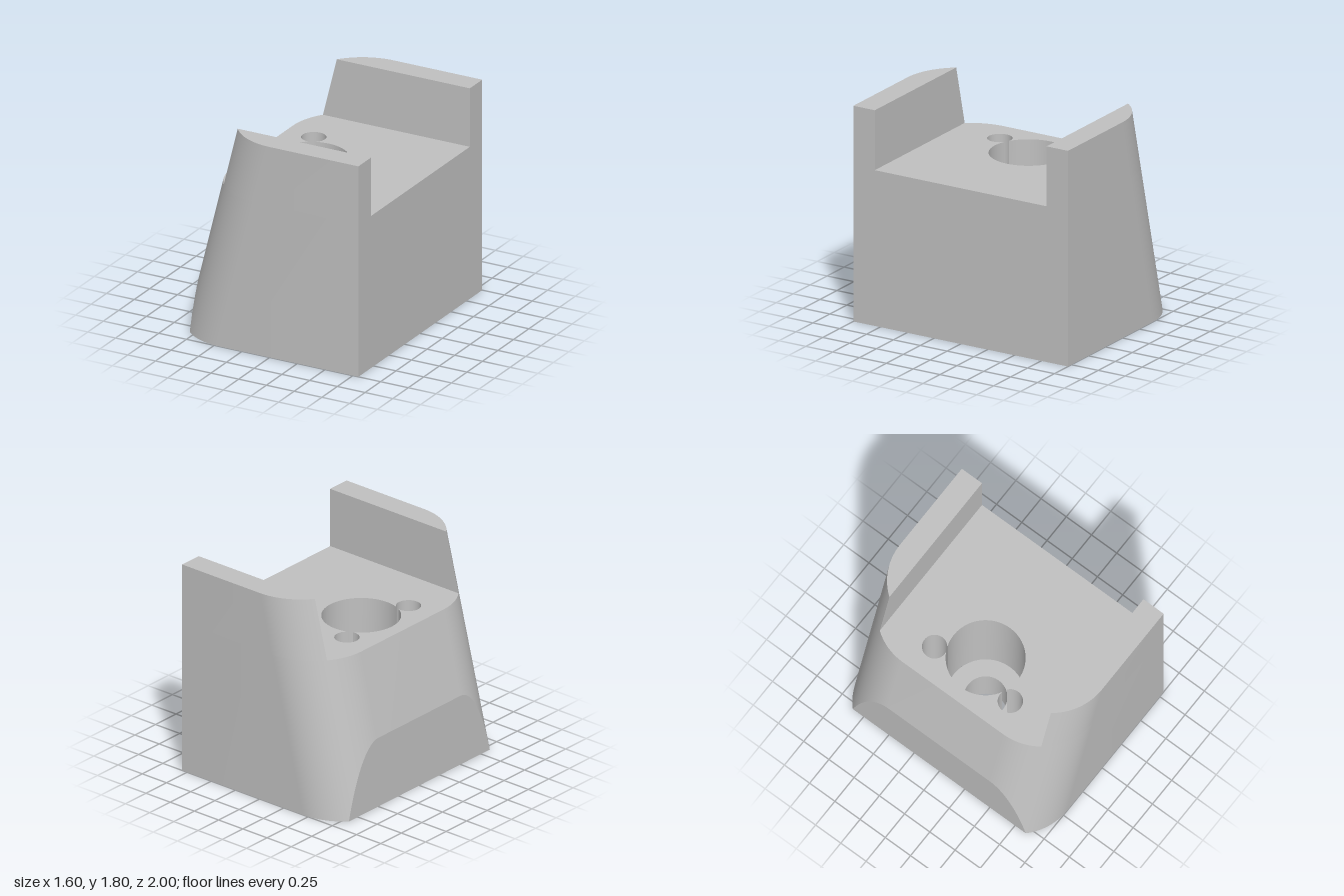
import * as THREE from 'three';
import { toCreasedNormals } from 'three/addons/utils/BufferGeometryUtils.js';

// Plan points are Vector2(x, -z). The rounded front edge leans back with height.
const LEAN = 0.25, R = 0.5, BASE_X = -0.45, CUT_X = -0.8, BACK_X = 0.8;
const FLOOR = 1.3, TOP = 1.8, WALL_Z = 0.8, BORE_FLOOR = 0.4;

const V2 = (x, y) => new THREE.Vector2(x, y);
const at = (p, y) => new THREE.Vector3(p.x, y, -p.y);
const lean = (p, y) => V2(p.x === BACK_X ? BACK_X : p.x + LEAN * y, p.y);

// Walls between rows of points, outward when the path runs counter-clockwise
function loft(rows) {
  const pos = [];
  const tri = (a, b, c) => {
    if (new THREE.Triangle(a, b, c).getArea() > 1e-7) for (const v of [a, b, c]) pos.push(v.x, v.y, v.z);
  };
  for (let r = 0; r < rows.length - 1; r++) {
    const lo = rows[r], hi = rows[r + 1];
    for (let i = 0; i < lo.length - 1; i++) {
      tri(lo[i], lo[i + 1], hi[i + 1]);
      tri(lo[i], hi[i + 1], hi[i]);
    }
  }
  const g = new THREE.BufferGeometry();
  g.setAttribute('position', new THREE.Float32BufferAttribute(pos, 3));
  return toCreasedNormals(g, 0.2);
}

// Flat horizontal face with holes
function cap(points, y, holes = [], down = false) {
  const shape = new THREE.Shape(points);
  shape.holes = holes.map((h) => new THREE.Path(h));
  return new THREE.ShapeGeometry(shape).rotateX(down ? Math.PI / 2 : -Math.PI / 2).translate(0, y, 0);
}

function arc(c, r, a0, a1, n) {
  return Array.from({ length: n + 1 }, (_, i) => {
    const a = a0 + ((a1 - a0) * i) / n;
    return V2(c.x + r * Math.cos(a), c.y + r * Math.sin(a));
  });
}

export function createModel() {
  const group = new THREE.Group();
  const grey = new THREE.MeshStandardMaterial({ color: 0xc0c0c0 });
  grey.name = 'plain grey';
  const add = (name, geometry) => {
    const mesh = new THREE.Mesh(geometry, grey);
    mesh.name = name;
    group.add(mesh);
  };

  // Outline at ground level, split where the walls begin and where the flat cut ends
  const wallA = Math.asin((WALL_Z - R) / R), cutA = Math.acos((BASE_X - CUT_X) / R);
  const centre = V2(BASE_X, R);
  const wallArc = [
    ...arc(centre, R, Math.PI / 2, Math.PI - cutA, 12),
    ...arc(centre, R, Math.PI - cutA, Math.PI - wallA, 3).slice(1),
  ];
  const wall = [V2(BACK_X, 1), ...wallArc];
  const frontArc = arc(centre, R, Math.PI - wallA, Math.PI, 10);
  const mirror = (pts) => pts.map((p) => V2(p.x, -p.y)).reverse();
  const middle = [...frontArc, ...mirror(frontArc)];
  const outline = [...wall, ...middle.slice(1, -1), ...mirror(wall)];

  // Outer skin: upright below the kink, leaning above it
  const clipped = outline.map((p) => V2(Math.max(p.x, CUT_X), p.y));
  const kink = outline.map((p) => Math.max(0, (CUT_X - p.x) / LEAN));
  add('bodySkin', loft([
    clipped.map((p) => at(p, 0)),
    clipped.map((p, i) => at(p, kink[i])),
    outline.map((p) => at(lean(p, FLOOR), FLOOR)),
  ]));

  // Two raised side walls
  for (const side of [1, -1]) {
    const path = side > 0 ? wall : mirror(wall);
    const name = side > 0 ? 'rightWall' : 'leftWall';
    const rowAt = (pts, y) => pts.map((p) => at(lean(p, y), y));
    add(name + 'Outside', loft([rowAt(path, FLOOR), rowAt(path, TOP)]));
    const inner = [wall[wall.length - 1], V2(BACK_X, WALL_Z)];
    const innerPath = side > 0 ? inner : mirror(inner);
    add(name + 'Inside', loft([rowAt(innerPath, FLOOR), rowAt(innerPath, TOP)]));
    const rim = [...wall, V2(BACK_X, WALL_Z)].map((p) => lean(p, TOP));
    add(name + 'Top', cap(side > 0 ? rim : mirror(rim), TOP));
  }

  // U-shaped flat end
  const end = new THREE.Shape([
    V2(-1, 0), V2(1, 0), V2(1, TOP), V2(WALL_Z, TOP), V2(WALL_Z, FLOOR),
    V2(-WALL_Z, FLOOR), V2(-WALL_Z, TOP), V2(-1, TOP),
  ]);
  add('flatEnd', new THREE.ShapeGeometry(end).rotateY(Math.PI / 2).translate(BACK_X, 0, 0));

  // Holes: a counterbored centre hole and two pin holes that just break into the bore
  const c = V2(-0.2, 0), bigR = 0.315, smallR = 0.1;
  const pins = [V2(-0.37, 0.375), V2(-0.37, -0.375)];
  const d = c.distanceTo(pins[0]);
  const alpha = Math.acos((d * d + bigR * bigR - smallR * smallR) / (2 * d * bigR));
  const beta = Math.acos((d * d + smallR * smallR - bigR * bigR) / (2 * d * smallR));
  const phi = Math.atan2(0.375, -0.17), phi2 = 2 * Math.PI - phi;
  const pinArc = (p, a) => arc(p, smallR, a + Math.PI + beta, a + 3 * Math.PI - beta, 32).slice(0, -1);
  const bore = [
    ...arc(c, bigR, phi + alpha, phi2 - alpha, 24).slice(0, -1),
    ...pinArc(pins[1], phi2),
    ...arc(c, bigR, phi2 + alpha, phi + 2 * Math.PI - alpha, 40).slice(0, -1),
    ...pinArc(pins[0], phi),
  ];
  const circle = (p, r) => arc(p, r, 0, 2 * Math.PI, 40).slice(0, -1);
  const screwHole = circle(c, 0.172);
  const lowerHoles = [screwHole, ...pins.map((p) => circle(p, smallR))];
  const holeWall = (pts, y0, y1) => {
    const loop = [...pts, pts[0]].reverse();
    return loft([loop.map((p) => at(p, y0)), loop.map((p) => at(p, y1))]);
  };
  add('counterboreWall', holeWall(bore, BORE_FLOOR, FLOOR));
  add('counterboreFloor', cap(circle(c, bigR), BORE_FLOOR, [screwHole]));
  lowerHoles.forEach((h, i) => add(i ? 'pinHole' + i : 'screwHole', holeWall(h, 0, BORE_FLOOR)));

  // Channel floor and underside
  const floor = [V2(BACK_X, WALL_Z), ...middle.map((p) => lean(p, FLOOR)), V2(BACK_X, -WALL_Z)];
  add('channelFloor', cap(floor, FLOOR, [bore]));
  add('underside', cap(clipped, 0, lowerHoles, true));

  return group;
}
